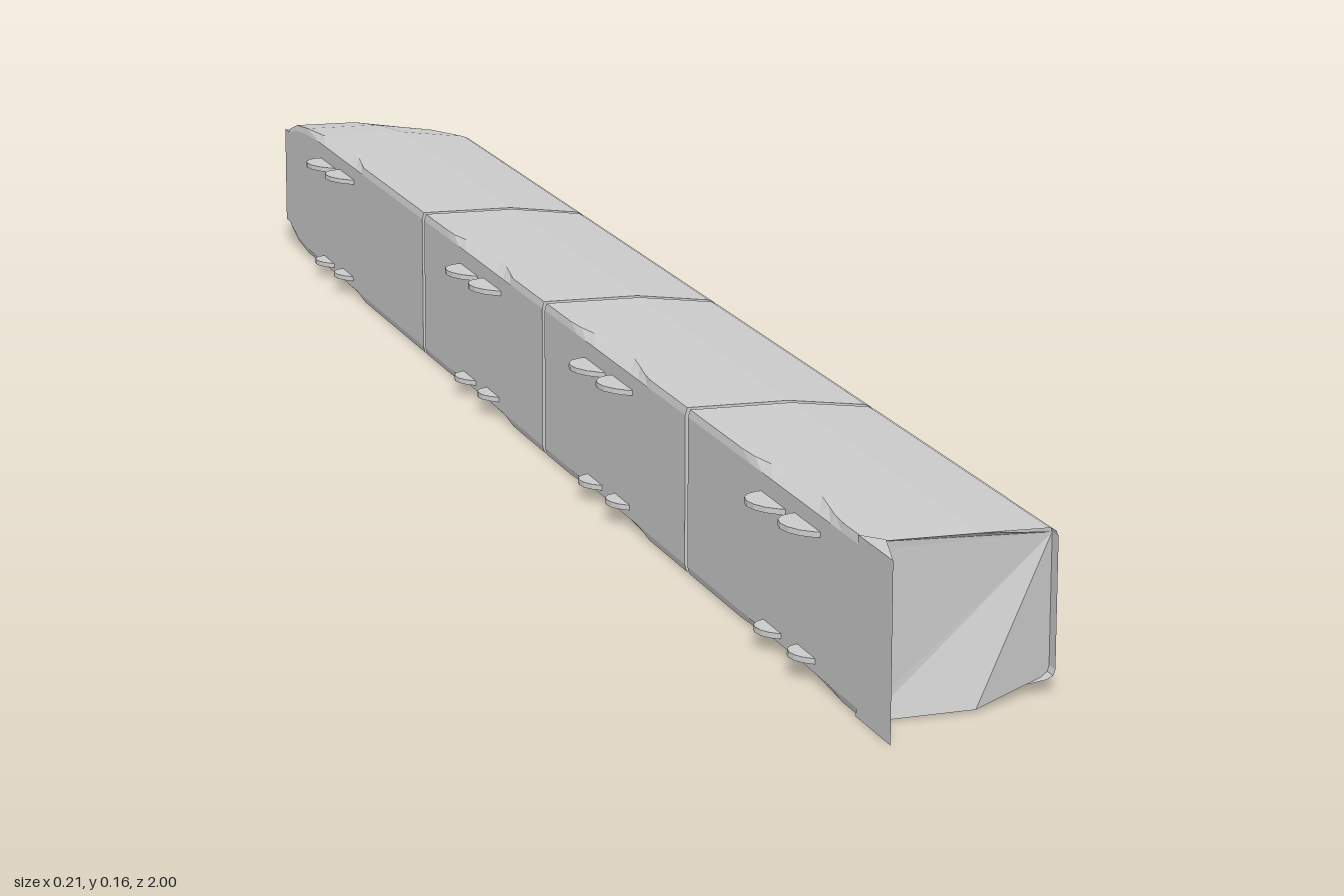
import * as THREE from 'three';

const MID = 0.079, BACK = -0.08, OUT = 0.104;
const LUGS = [-0.8, -0.715, -0.22, -0.135, 0.21, 0.295, 0.715, 0.8];

// upper half of the cross-section, from the outer side round to the back; mirrored below
const upper = [[0.104, 0.138], [0.102, 0.143], [0.096, 0.146], [0.02, 0.156], [-0.07, 0.157], [-0.08, 0.15]];
const section = [...upper, ...upper.slice().reverse().map(([x, y]) => [x, 2 * MID - y])];

// nose stations: z, outer x, height factor
const nose = [[-0.995, 0.0, 0.68], [-0.98, 0.025, 0.78], [-0.95, 0.055, 0.9], [-0.9, 0.08, 0.97], [-0.84, OUT, 1]];

// the back edge dips inward beside each pair of lugs
function dip(z) {
  let d = 0;
  for (const c of [-0.7575, -0.1775, 0.2525, 0.7575]) d = Math.max(d, 1 - Math.abs(z - c) / 0.11);
  return 0.012 * Math.min(1, 1.6 * d);
}

function ring([z, out, h], inset, slant) {
  return section.map(([x, y]) => {
    let px = BACK + (x - BACK) * (out - BACK) / (OUT - BACK);
    let py = MID + (y - MID) * h;
    if (x === -0.07) px = -0.078 + dip(z);
    px += (px > 0.01 ? -1 : 1) * inset;
    py += (py > MID ? -1 : 1) * inset;
    return [px, py, z - (slant ? Math.max(0, px - 0.02) * 0.5 : 0)];
  });
}

// skin over successive rings, closed at both ends
function loft(rings) {
  const n = section.length, pos = rings.flat(2), idx = [];
  for (let i = 0; i < rings.length - 1; i++) {
    for (let j = 0; j < n; j++) {
      const a = i * n + j, b = i * n + (j + 1) % n;
      idx.push(a, b, b + n, a, b + n, a + n);
    }
  }
  const last = (rings.length - 1) * n;
  for (let j = 1; j < n - 1; j++) {
    idx.push(0, j + 1, j);
    idx.push(last, last + j, last + j + 1);
  }
  const g = new THREE.BufferGeometry();
  g.setAttribute('position', new THREE.Float32BufferAttribute(pos, 3));
  g.setIndex(idx);
  const flat = g.toNonIndexed();
  flat.computeVertexNormals();
  return flat;
}

export function createModel() {
  const model = new THREE.Group();
  const mat = new THREE.MeshStandardMaterial({ color: 0xcccccc, flatShading: true, side: THREE.DoubleSide });
  const add = (name, geo) => {
    const m = new THREE.Mesh(geo, mat);
    m.name = name;
    model.add(m);
    return m;
  };

  // four body segments with narrow seams between them
  const cuts = [-0.84, -0.395, 0.043, 0.483, 0.94];
  const names = ['rearSegment', 'midRearSegment', 'midFrontSegment', 'frontSegment'];
  names.forEach((name, k) => {
    const z0 = k ? cuts[k] + 0.004 : cuts[0], z1 = k < 3 ? cuts[k + 1] - 0.004 : cuts[4];
    const steps = 16, rings = [];
    if (k === 0) nose.slice(0, -1).forEach((s) => rings.push(ring(s, 0, false)));
    for (let i = 0; i <= steps; i++) {
      rings.push(ring([z0 + (z1 - z0) * i / steps, OUT, 1], 0, k === 3 && i === steps));
    }
    add(name, loft(rings));
  });

  // inner core seen in the seams
  add('core', loft([ring([-0.8, OUT, 1], 0.006, false), ring([0.85, OUT, 1], 0.006, false)]));

  // thin end flanges, wedge-shaped in plan
  const flange = (name, plan, y0, y1) => {
    const s = new THREE.Shape(plan.map(([x, z]) => new THREE.Vector2(x, -z)));
    const g = new THREE.ExtrudeGeometry(s, { depth: y1 - y0, bevelEnabled: false });
    g.rotateX(-Math.PI / 2).translate(0, y0, 0);
    add(name, g);
  };
  flange('frontFlange', [[BACK, 0.92], [BACK, 1], [-0.063, 0.94]], 0, 0.158);
  flange('rearFlange', [[BACK, -1], [BACK, -0.97], [-0.064, -0.98]], 0.025, 0.135);

  // thin rounded mounting lugs in two rows on the back
  LUGS.forEach((z, i) => {
    const up = add('upperLug', new THREE.CylinderGeometry(0.033, 0.033, 0.005, 16));
    up.position.set(-0.072, 0.13 + (i % 2 ? 0.003 : 0), z);
    up.rotation.z = -0.06;
    const low = add('lowerLug', new THREE.CylinderGeometry(0.024, 0.024, 0.005, 16));
    low.position.set(-0.072, 0.015 + (i % 2 ? 0.003 : 0), z);
    low.rotation.z = -0.06;
  });
  return model;
}
